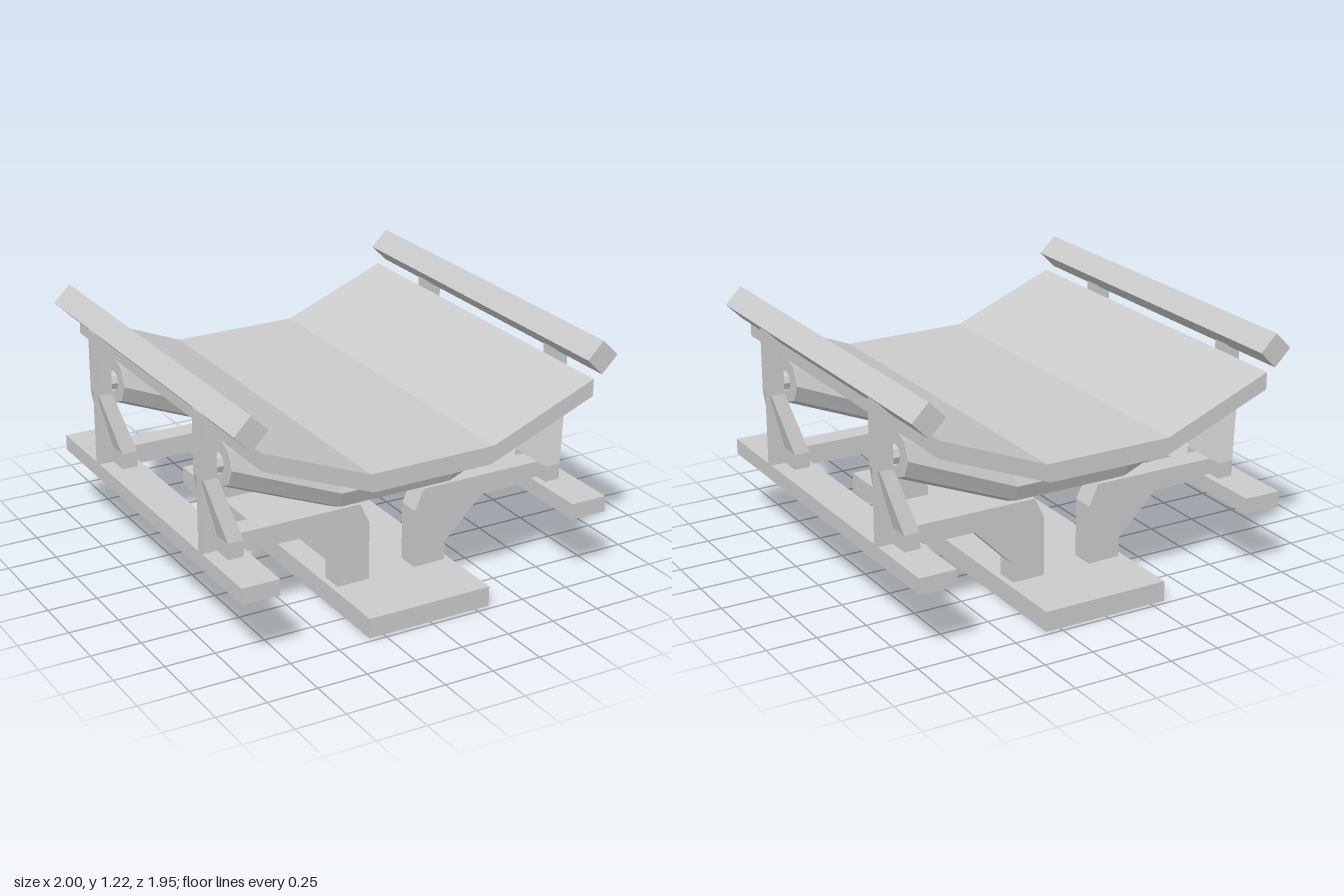
import * as THREE from 'three';

const material = new THREE.MeshStandardMaterial({ color: 0xcccccc, flatShading: true });
const LENGTH = 1.95;
const FRAME_Z = 0.57;

function add(parent, name, geometry, x = 0, y = 0, z = 0) {
  const mesh = new THREE.Mesh(geometry, material);
  mesh.name = name;
  mesh.position.set(x, y, z);
  parent.add(mesh);
  return mesh;
}

// Box given by its limits on each axis
function block(parent, name, x0, x1, y0, y1, z0, z1) {
  return add(parent, name, new THREE.BoxGeometry(x1 - x0, y1 - y0, z1 - z0),
    (x0 + x1) / 2, (y0 + y1) / 2, (z0 + z1) / 2);
}

// Outline in x and y, extruded along z about the origin
function plate(points, depth) {
  const shape = new THREE.Shape(points.map(([x, y]) => new THREE.Vector2(x, y)));
  return new THREE.ExtrudeGeometry(shape, { depth, bevelEnabled: false }).translate(0, 0, -depth / 2);
}

// Skin over matching rings, counter-clockwise about the direction of travel
function loft(rings) {
  const n = rings[0].length;
  const index = [];
  for (let r = 0; r < rings.length - 1; r++) {
    for (let i = 0; i < n; i++) {
      const a = r * n + i, b = r * n + (i + 1) % n;
      index.push(a, b, b + n, a, b + n, a + n);
    }
  }
  const last = (rings.length - 1) * n;
  for (let i = 1; i < n - 1; i++) {
    index.push(0, i + 1, i, last, last + i, last + i + 1);
  }
  const geometry = new THREE.BufferGeometry();
  geometry.setAttribute('position', new THREE.Float32BufferAttribute(rings.flat(2), 3));
  geometry.setIndex(index);
  const flat = geometry.toNonIndexed();
  flat.computeVertexNormals();
  return flat;
}

// Octagonal roller bent to a trough, mitred at both bends
function rollerGeometry() {
  const stations = [[-0.87, 0.845, 0], [-0.31, 0.61, -0.17], [0.31, 0.61, 0.17], [0.87, 0.845, 0]];
  return loft(stations.map(([x, y, mitre]) => Array.from({ length: 8 }, (_, i) => {
    const a = i * Math.PI / 4;
    const dy = 0.118 * Math.cos(a);
    return [x + mitre * dy, y + dy, 0.122 * Math.sin(a)];
  })));
}

// Brace widening and leaning inward towards its foot
function braceGeometry() {
  const ring = (y, x0, x1, h) => [[x0, y, -h], [x0, y, h], [x1, y, h], [x1, y, -h]];
  return loft([
    ring(0.42, 0.82, 0.9, 0.13),
    ring(0.5, 0.82, 0.9, 0.13),
    ring(0.795, 0.905, 0.975, 0.05),
  ]);
}

// One half of a cross frame, on the +x side
function halfFrame() {
  const frame = new THREE.Group();
  frame.name = 'supportFrame';
  add(frame, 'arm', plate([
    [0.125, 0.1], [0.295, 0.1], [0.295, 0.195], [0.5, 0.4],
    [0.85, 0.4], [0.85, 0.5], [0.175, 0.5], [0.125, 0.395],
  ], 0.115));
  add(frame, 'brace', braceGeometry());
  block(frame, 'rib', 0.87, 0.975, 0.42, 0.795, -0.02, 0.02);
  block(frame, 'post', 0.905, 0.975, 0.79, 1.11, -0.05, 0.05);
  const pin = new THREE.CylinderGeometry(0.048, 0.048, 0.07, 8).rotateZ(Math.PI / 2);
  add(frame, 'rollerPin', pin, 0.885, 0.843, 0);
  return frame;
}

export function createModel() {
  const model = new THREE.Group();
  model.name = 'troughConveyor';
  const h = LENGTH / 2;

  block(model, 'basePlate', -0.325, 0.325, 0, 0.1, -h, h);

  // Trough-shaped belt
  add(model, 'belt', plate([
    [-0.87, 1.04], [-0.87, 0.955], [-0.31, 0.73], [0.31, 0.73],
    [0.87, 0.955], [0.87, 1.04], [0.325, 0.82], [-0.325, 0.82],
  ], LENGTH));

  // Rollers and their frames, front and back
  for (const z of [FRAME_Z, -FRAME_Z]) {
    add(model, 'roller', rollerGeometry(), 0, 0, z);
    for (const turn of [0, Math.PI]) {
      const frame = halfFrame();
      frame.position.z = z;
      frame.rotation.y = turn;
      model.add(frame);
    }
  }

  // Long rails on both sides
  for (const s of [1, -1]) {
    add(model, 'footRail', new THREE.BoxGeometry(0.19, 0.08, LENGTH), s * 0.88, 0.38, 0);
    const handRail = add(model, 'handRail', new THREE.BoxGeometry(0.118, 0.118, LENGTH), s * 0.916, 1.138, 0);
    handRail.rotation.z = Math.PI / 4;
  }
  return model;
}
